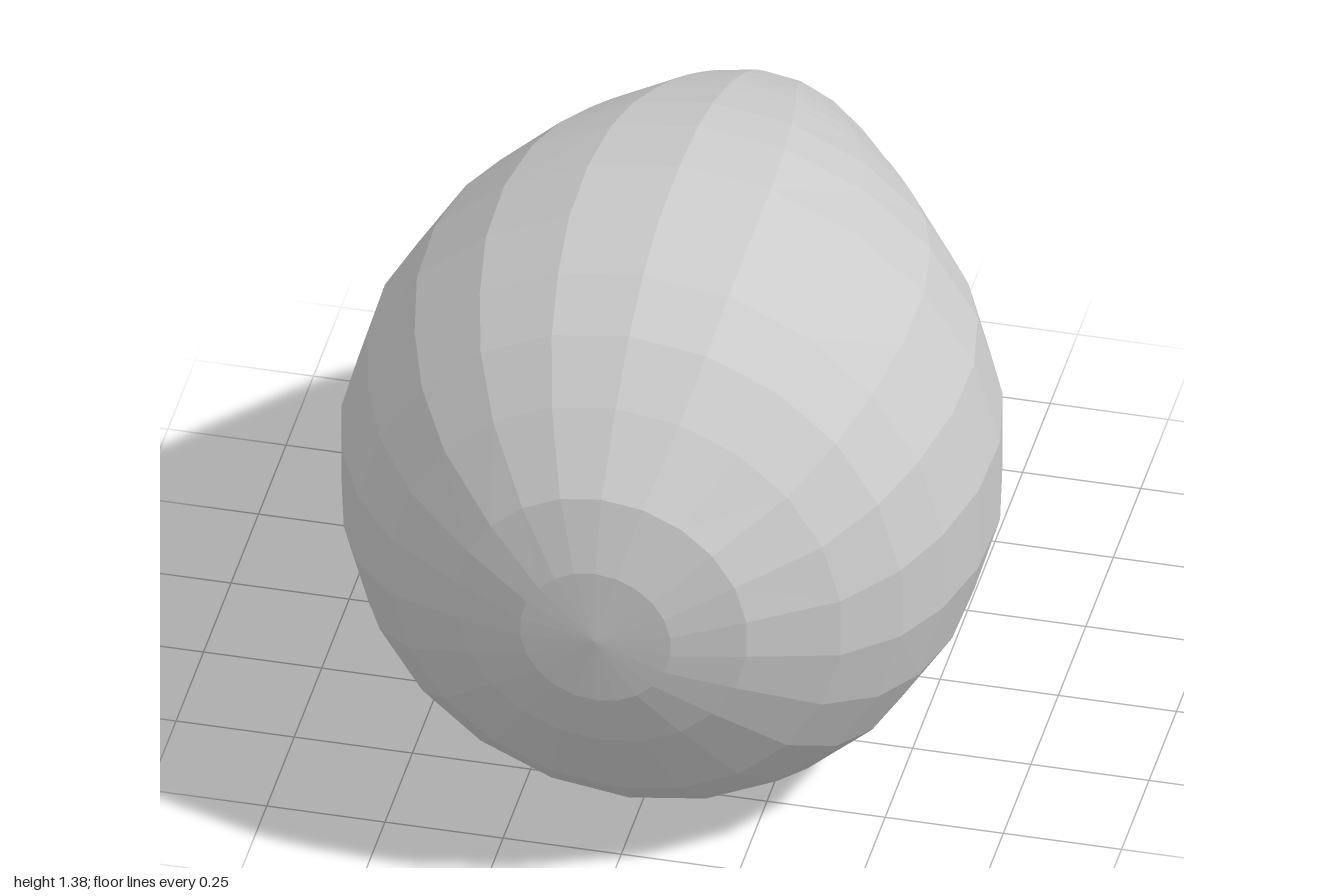
import * as THREE from 'three';

const material = new THREE.MeshStandardMaterial({ color: 0xcccccc, flatShading: true, side: THREE.DoubleSide });

function makeMesh(name, points, faces) {
  const geometry = new THREE.BufferGeometry();
  geometry.setAttribute('position', new THREE.Float32BufferAttribute(points.flat(), 3));
  geometry.setIndex(faces.flat());
  const flat = geometry.toNonIndexed();
  flat.computeVertexNormals();
  const mesh = new THREE.Mesh(flat, material);
  mesh.name = name;
  return mesh;
}

// Cross-sections of the head: z, top y, bottom y, half width
const SECTIONS = [
  [0.985, 0.88, 0.56, 0.16], [0.93, 1.03, 0.42, 0.31], [0.80, 1.17, 0.21, 0.48],
  [0.68, 1.27, 0.10, 0.58], [0.55, 1.335, 0.035, 0.64], [0.40, 1.375, 0.01, 0.68],
  [0.22, 1.38, 0.005, 0.685], [0.05, 1.362, 0.03, 0.65], [-0.08, 1.33, 0.065, 0.595],
  [-0.20, 1.285, 0.12, 0.52], [-0.27, 1.255, 0.16, 0.47], [-0.34, 1.22, 0.23, 0.415],
  [-0.41, 1.18, 0.275, 0.36], [-0.48, 1.135, 0.315, 0.32], [-0.56, 1.075, 0.42, 0.265],
  [-0.64, 1.00, 0.50, 0.205], [-0.72, 0.925, 0.60, 0.16], [-0.78, 0.85, 0.69, 0.10],
];
const SIDES = 22;

// Brow ridges and eye hollows: z, y, radius, push along x
const LUMPS = [
  [-0.50, 0.82, 0.10, 0.045], [-0.42, 0.72, 0.07, -0.035],
  [-0.34, 0.66, 0.08, 0.02], [-0.62, 0.72, 0.07, 0.03], [-0.70, 0.66, 0.05, -0.02],
];

function headPoint([z, top, bottom, half], angle) {
  const y = (top + bottom) / 2 + Math.cos(angle) * (top - bottom) / 2;
  let x = Math.sin(angle) * half;
  const side = Math.abs(x) < 1e-6 ? 0 : Math.sign(x);
  for (const [lz, ly, r, push] of LUMPS) {
    x += side * push * Math.exp(-((z - lz) ** 2 + (y - ly) ** 2) / (r * r));
  }
  return [x, y, z];
}

function createHead() {
  const points = [], faces = [];
  for (const section of SECTIONS) {
    for (let j = 0; j < SIDES; j++) points.push(headPoint(section, j / SIDES * Math.PI * 2));
  }
  const first = points.push([0, 0.72, 1]) - 1;
  const last = points.push([0, 0.78, -0.81]) - 1;
  const end = (SECTIONS.length - 1) * SIDES;
  for (let j = 0; j < SIDES; j++) {
    const k = (j + 1) % SIDES;
    for (let i = 0; i < end; i += SIDES) {
      faces.push([i + j, i + k, i + SIDES + k], [i + j, i + SIDES + k, i + SIDES + j]);
    }
    faces.push([first, k, j], [last, end + j, end + k]);
  }
  return makeMesh('head', points, faces);
}

function createBeak() {
  // Half of the slanted base rim, from the ridge down to the chin
  const rim = [
    [0, 0.77, -0.805], [0.06, 0.75, -0.795], [0.11, 0.70, -0.77], [0.15, 0.61, -0.69],
    [0.19, 0.51, -0.60], [0.225, 0.385, -0.49], [0, 0.335, -0.61],
  ];
  const mirrored = rim.slice(1, -1).reverse().map(([x, y, z]) => [-x, y, z]);
  const points = [...rim, ...mirrored];
  const n = points.length;
  const tip = points.push([0, 0.32, -1]) - 1;
  const chin = points.push([0, 0.31, -0.47]) - 1;
  const faces = [];
  for (let i = 0; i < n; i++) faces.push([tip, i, (i + 1) % n]);
  // Underside between the mouth corners and the throat
  faces.push([5, chin, 6], [6, chin, 7]);
  return makeMesh('beak', points, faces);
}

export function createModel() {
  const group = new THREE.Group();
  group.name = 'birdHead';
  group.add(createHead(), createBeak());
  return group;
}
